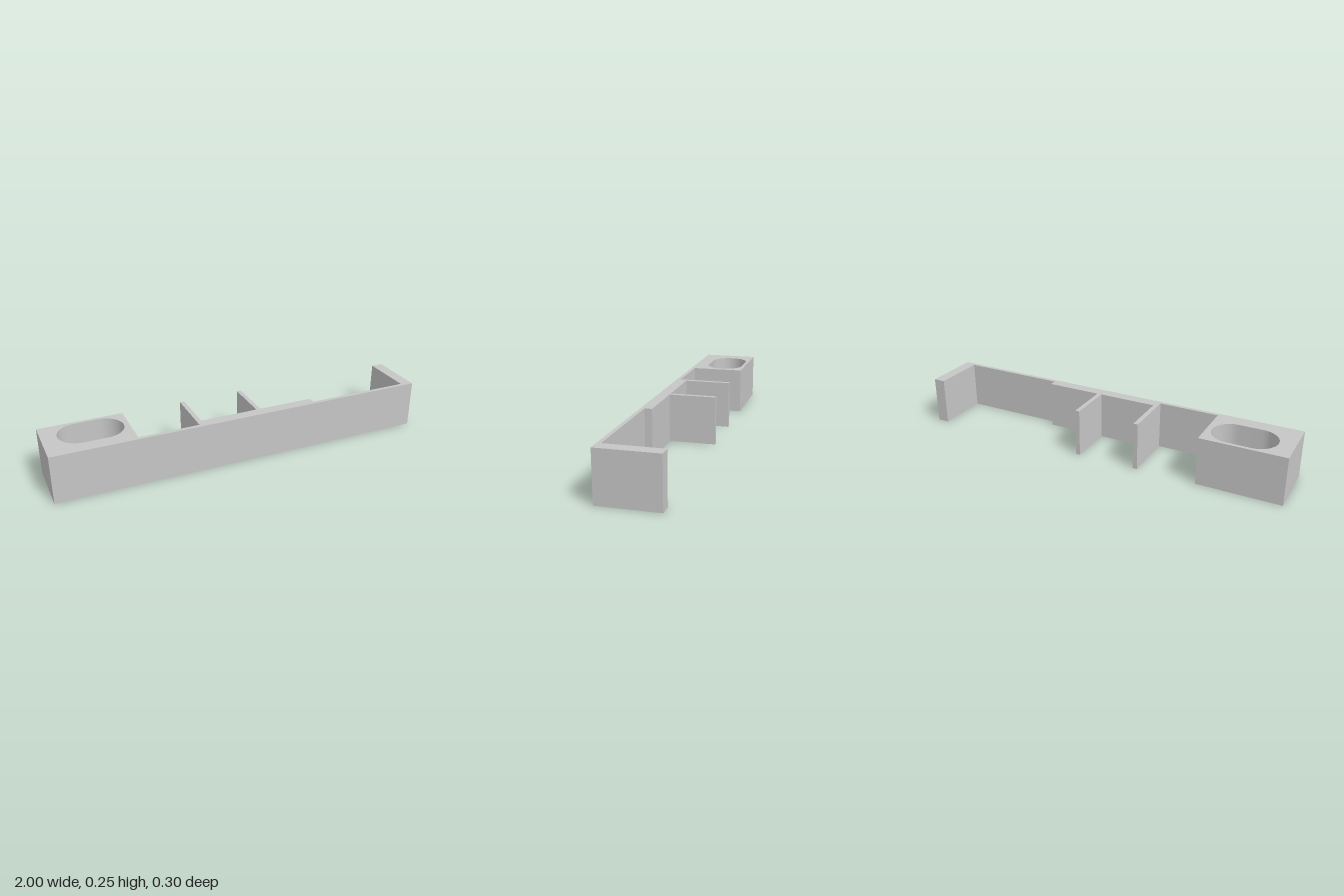
import * as THREE from 'three';
import { toCreasedNormals } from 'three/addons/utils/BufferGeometryUtils.js';

const HEIGHT = 0.25;
const BACK = -0.15, FRONT = 0.15; // depth limits
const THIN = 0.13, THICK = 0.092; // inner faces of the wall

export function createModel() {
  const group = new THREE.Group();
  group.name = 'bracket';
  const grey = new THREE.MeshStandardMaterial({ color: 0xc6c6c6 });
  grey.name = 'lightGrey';

  // Plan outline as [x, z]: slotted block, thin wall, two ribs on a pad, end tab
  const outline = [
    [-1, FRONT], [1, FRONT], [1, BACK], [0.938, BACK], [0.938, THIN],
    [0.385, THIN], [0.385, THICK],
    [0.095, THICK], [0.095, BACK], [0.072, BACK], [0.072, THICK],
    [-0.232, THICK], [-0.232, BACK], [-0.256, BACK], [-0.256, THIN],
    [-0.568, THIN], [-0.568, BACK], [-1, BACK],
  ];
  const plan = new THREE.Shape(outline.map(([x, z]) => new THREE.Vector2(x, -z)));

  // Rounded slot through the block
  const r = 0.103, left = -0.922 + r, right = -0.595 - r, slotY = 0.029;
  const slot = new THREE.Path();
  slot.absarc(right, slotY, r, -Math.PI / 2, Math.PI / 2, false);
  slot.absarc(left, slotY, r, Math.PI / 2, Math.PI * 1.5, false);
  slot.closePath();
  plan.holes.push(slot);

  const extruded = new THREE.ExtrudeGeometry(plan, { depth: HEIGHT, bevelEnabled: false, curveSegments: 24 });
  extruded.rotateX(-Math.PI / 2);
  const body = new THREE.Mesh(toCreasedNormals(extruded, Math.PI / 6), grey);
  body.name = 'slottedRibbedBody';
  group.add(body);
  return group;
}
